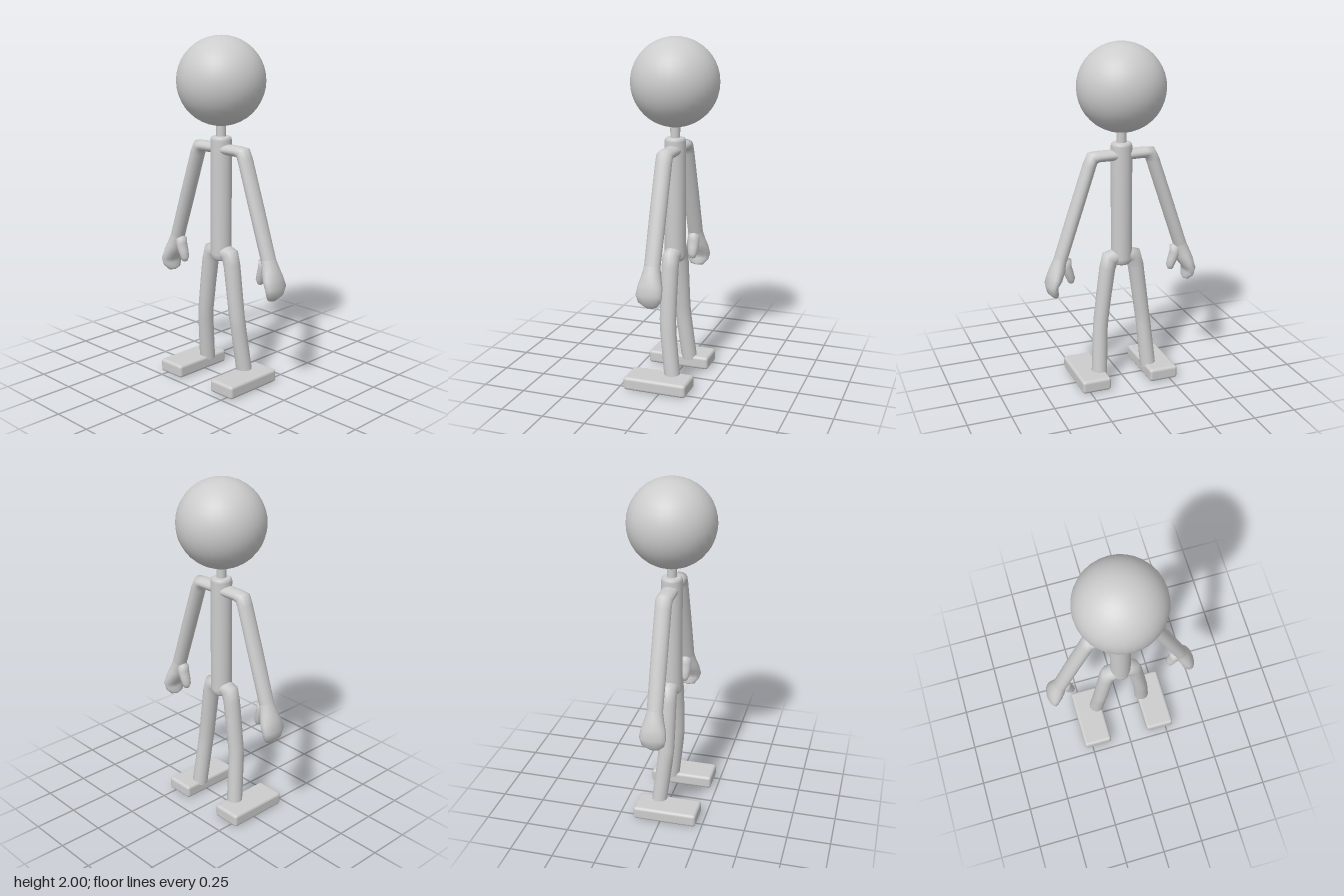
import * as THREE from 'three';
import { RoundedBoxGeometry } from 'three/addons/geometries/RoundedBoxGeometry.js';

const SIDES = 16;

// Limb swept through sections [x, y, z, half width in the xy plane, half depth along z].
function limbGeometry(sections, side) {
  const pts = sections.map(([x, y, z, w, d]) => ({ p: new THREE.Vector3(x * side, y, z), w, d }));
  const positions = [], index = [];
  pts.forEach(({ p, w, d }, i) => {
    const before = pts[Math.max(i - 1, 0)].p, after = pts[Math.min(i + 1, pts.length - 1)].p;
    const a = p.clone().sub(before).setZ(0).normalize();
    const b = after.clone().sub(p).setZ(0).normalize();
    const t = a.add(b).normalize();
    for (let j = 0; j < SIDES; j++) {
      const angle = (j / SIDES) * Math.PI * 2, c = Math.cos(angle) * w;
      positions.push(p.x - t.y * c, p.y + t.x * c, p.z + Math.sin(angle) * d);
    }
  });
  for (let i = 0; i < pts.length - 1; i++) {
    for (let j = 0; j < SIDES; j++) {
      const k = (j + 1) % SIDES;
      const a = i * SIDES + j, b = i * SIDES + k, c = b + SIDES, d = a + SIDES;
      index.push(a, b, d, b, c, d);
    }
  }
  const geometry = new THREE.BufferGeometry();
  geometry.setAttribute('position', new THREE.Float32BufferAttribute(positions, 3));
  geometry.setIndex(index);
  geometry.computeVertexNormals();
  return geometry;
}

const ARM = [
  [0, 1.37, 0, 0.031, 0.048], [0.14, 1.37, 0, 0.031, 0.048], [0.172, 1.365, 0, 0.04, 0.048],
  [0.19, 1.325, 0, 0.037, 0.048], [0.28, 1.06, 0, 0.038, 0.048], [0.374, 0.78, 0, 0.038, 0.046],
];
const HAND = [
  [0.36, 0.82, 0, 0.036, 0.044], [0.374, 0.78, 0, 0.039, 0.048], [0.388, 0.735, 0, 0.045, 0.058],
  [0.406, 0.69, 0, 0.044, 0.072], [0.427, 0.645, 0, 0.034, 0.077], [0.421, 0.607, 0, 0.03, 0.066],
  [0.402, 0.58, 0, 0.02, 0.042], [0.393, 0.572, 0, 0, 0],
];
const THUMB = [
  [0.346, 0.8, 0, 0, 0], [0.34, 0.78, 0, 0.034, 0.034], [0.337, 0.745, 0, 0.03, 0.036],
  [0.323, 0.705, 0, 0.028, 0.033], [0.31, 0.668, 0, 0.024, 0.028],
  [0.312, 0.645, 0, 0.016, 0.018], [0.314, 0.636, 0, 0, 0],
];
const LEG = [
  [0, 0.765, 0, 0.045, 0.05], [0.04, 0.768, 0, 0.046, 0.05], [0.072, 0.757, 0, 0.054, 0.05],
  [0.088, 0.7, 0, 0.046, 0.05], [0.11, 0.54, 0, 0.044, 0.049], [0.128, 0.4, -0.001, 0.043, 0.048],
  [0.136, 0.33, -0.006, 0.043, 0.047], [0.155, 0.06, -0.037, 0.046, 0.046],
];

export function createModel() {
  const group = new THREE.Group();
  const grey = new THREE.MeshStandardMaterial({ color: 0xcccccc });
  grey.name = 'light grey';

  const add = (name, geometry, x = 0, y = 0, z = 0) => {
    const mesh = new THREE.Mesh(geometry, grey);
    mesh.name = name;
    mesh.position.set(x, y, z);
    group.add(mesh);
  };

  // Head, neck and trunk
  add('head', new THREE.SphereGeometry(0.25, 32, 20), 0, 1.75, 0);
  add('neck', new THREE.CylinderGeometry(0.028, 0.028, 0.12, 16), 0, 1.475, 0);
  const trunk = [[0, 0.72], [0.045, 0.722], [0.057, 0.735], [0.061, 0.76],
    [0.061, 1.42], [0.057, 1.435], [0.048, 1.441], [0, 1.442]];
  add('torso', new THREE.LatheGeometry(trunk.map(([r, y]) => new THREE.Vector2(r, y)), 20));

  // Mirrored limbs; the model's left is +x
  for (const [label, side] of [['left', 1], ['right', -1]]) {
    add(label + 'Arm', limbGeometry(ARM, side));
    add(label + 'Hand', limbGeometry(HAND, side));
    add(label + 'Thumb', limbGeometry(THUMB, side));
    add(label + 'Leg', limbGeometry(LEG, side));
    add(label + 'Foot', new RoundedBoxGeometry(0.175, 0.078, 0.377, 3, 0.018), side * 0.21, 0.039, 0.027);
  }
  return group;
}
